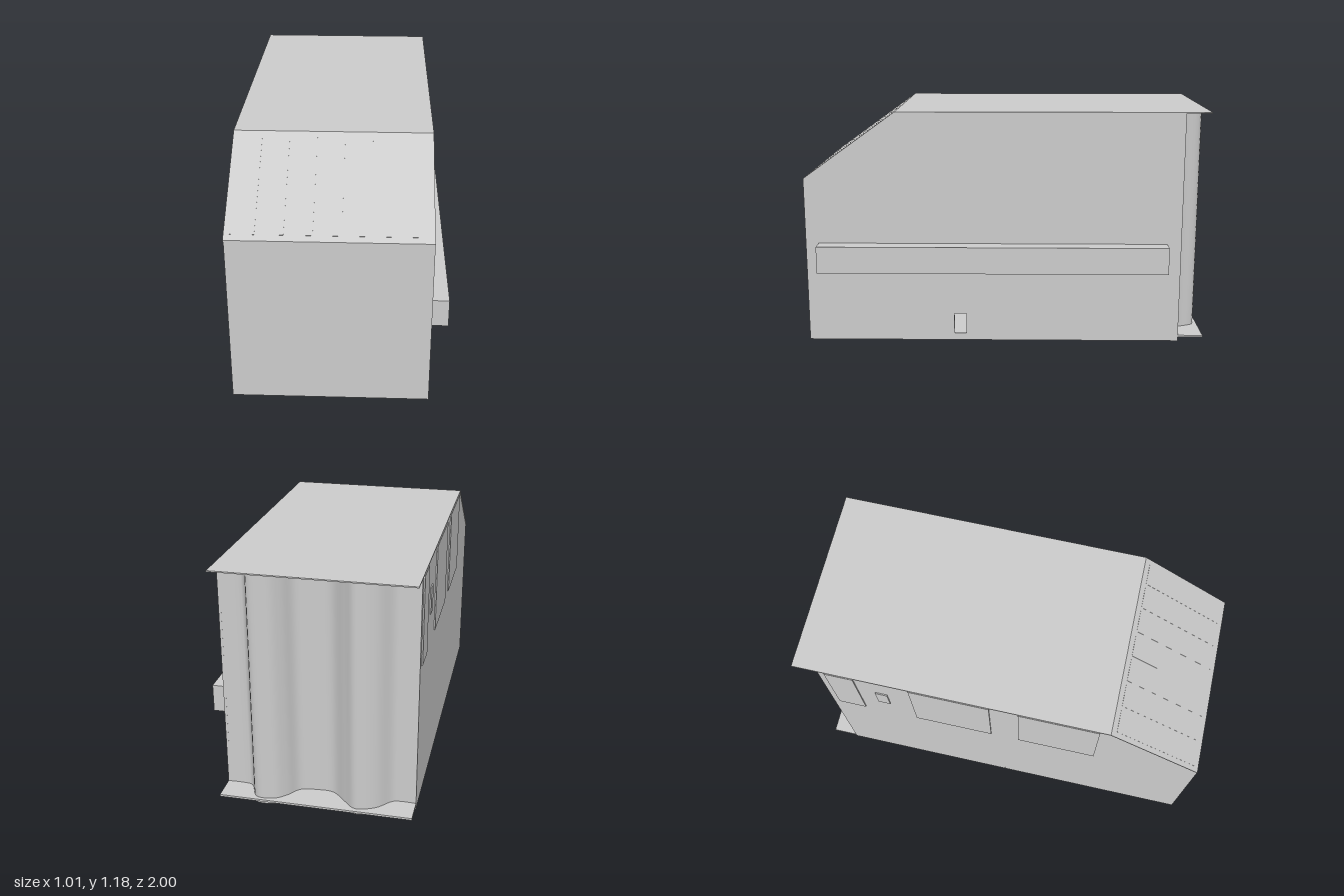
import * as THREE from 'three';
import { toCreasedNormals } from 'three/addons/utils/BufferGeometryUtils.js';

const LEFT = -0.5, RIGHT = 0.425, MID = (LEFT + RIGHT) / 2, WIDTH = RIGHT - LEFT;
const TOP = 1.18, EAVE = 0.85, RIDGE_Z = 0.54, BASE = 0.015, FLOOR = 0.04, T = 0.012;

const material = new THREE.MeshStandardMaterial({ color: 0xcccccc, side: THREE.DoubleSide });
const toShape = (pts) => new THREE.Shape(pts.map(([a, b]) => new THREE.Vector2(a, b)));
const extrude = (shape, depth) => new THREE.ExtrudeGeometry(shape, { depth, bevelEnabled: false });

export function createModel() {
  const root = new THREE.Group();
  const add = (name, geometry, x = 0, y = 0, z = 0, parent = root) => {
    const mesh = new THREE.Mesh(geometry, material);
    mesh.name = name;
    mesh.position.set(x, y, z);
    parent.add(mesh);
    return mesh;
  };
  // box given by its two extreme corners
  const block = (name, x0, x1, y0, y1, z0, z1) =>
    add(name, new THREE.BoxGeometry(x1 - x0, y1 - y0, z1 - z0), (x0 + x1) / 2, (y0 + y1) / 2, (z0 + z1) / 2);
  // (z, y) profile extruded towards -x, starting at x
  const sideways = (name, shape, x, depth) => add(name, extrude(shape, depth).rotateY(-Math.PI / 2), x);
  // (x, z) plan extruded downwards, starting at y
  const downwards = (name, shape, y, depth) =>
    add(name, toCreasedNormals(extrude(shape, depth).rotateX(Math.PI / 2), 0.5), 0, y);

  // side walls; the right one has a small hatch opening
  const wallProfile = () => toShape([
    [1, BASE], [1, EAVE - 0.003], [RIDGE_Z, TOP - 0.003], [-0.875, TOP - 0.003], [-0.875, BASE],
  ]);
  const rightProfile = wallProfile();
  rightProfile.holes.push(toShape([[0.2, 0.05], [0.2, 0.155], [0.26, 0.155], [0.26, 0.05]]));
  sideways('rightWall', rightProfile, RIGHT, T);
  sideways('leftWall', wallProfile(), LEFT + T, T);

  // front wall
  block('frontWall', LEFT, RIGHT, BASE, EAVE - 0.005, 1 - T, 1);

  // wavy back wall with two rounded bulges
  const wave = new THREE.SplineCurve([
    [0.425, -0.875], [0.34, -0.875], [0.295, -0.89], [0.25, -0.975], [0.165, -0.975],
    [0.11, -0.935], [0.06, -0.875], [-0.02, -0.86], [-0.1, -0.865], [-0.17, -0.93],
    [-0.23, -0.978], [-0.32, -0.95], [-0.385, -0.885], [-0.43, -0.873], [-0.5, -0.875],
  ].map(([x, z]) => new THREE.Vector2(x, z))).getPoints(70).map((p) => [p.x, p.y]);
  const inner = wave.map(([x, z]) => [x, z + T]).reverse();
  downwards('backWall', toShape([...wave, ...inner]), TOP - 0.005, TOP - FLOOR - 0.005);

  // floor in two slabs with a narrow wedge gap, plus a thin overhanging plate
  downwards('rearFloor', toShape([...wave, [LEFT, 0.085], [RIGHT, 0.08]]), FLOOR, FLOOR - BASE);
  downwards('frontFloor', toShape([[RIGHT, 0.1], [LEFT, 0.085], [LEFT, 1], [RIGHT, 1]]), FLOOR, FLOOR - BASE);
  block('floorPlate', LEFT, RIGHT, 0.035, 0.045, -1, 1 - T);

  // flat roof running into the front slope
  sideways('roof', toShape([
    [1, EAVE], [RIDGE_Z, TOP], [-1, TOP], [-1, TOP - 0.006], [RIDGE_Z - 0.002, TOP - 0.006], [1, EAVE - 0.008],
  ]), RIGHT, WIDTH + 0.003);

  // seven slim panels lying almost flush in the slope
  const rise = TOP - EAVE, run = 1 - RIDGE_Z;
  const slope = new THREE.Group();
  slope.name = 'slopePanels';
  slope.position.set(MID, (TOP + EAVE) / 2, (1 + RIDGE_Z) / 2);
  slope.rotation.x = Math.atan2(rise, run);
  root.add(slope);
  for (let i = 0; i < 7; i++) {
    add('slopePanel', new THREE.BoxGeometry(0.11, 0.005, Math.hypot(rise, run) - 0.06), (i - 3) * 0.128, -0.0015, 0, slope);
  }

  // long box on the right wall
  block('sideBox', RIGHT, 0.505, 0.387, 0.522, -0.805, 0.935);

  // shallow window panels on the left wall: z0, z1, y0, y1
  for (const [z0, z1, y0, y1] of [
    [-0.84, -0.7, 0.745, 1.172], [-0.61, -0.55, 0.9, 1.03],
    [-0.43, -0.04, 0.745, 1.172], [0.1, 0.49, 0.745, 1.172],
  ]) block('windowPanel', LEFT - 0.006, LEFT + 0.002, y0, y1, z0, z1);

  // small pins under the rear floor
  for (const x of [-0.395, -0.225, -0.055, 0.115]) {
    for (const z of [-0.61, -0.55]) {
      add('floorPin', new THREE.ConeGeometry(0.004, 0.02, 6).rotateX(Math.PI), x, 0.01, z);
    }
  }
  return root;
}
